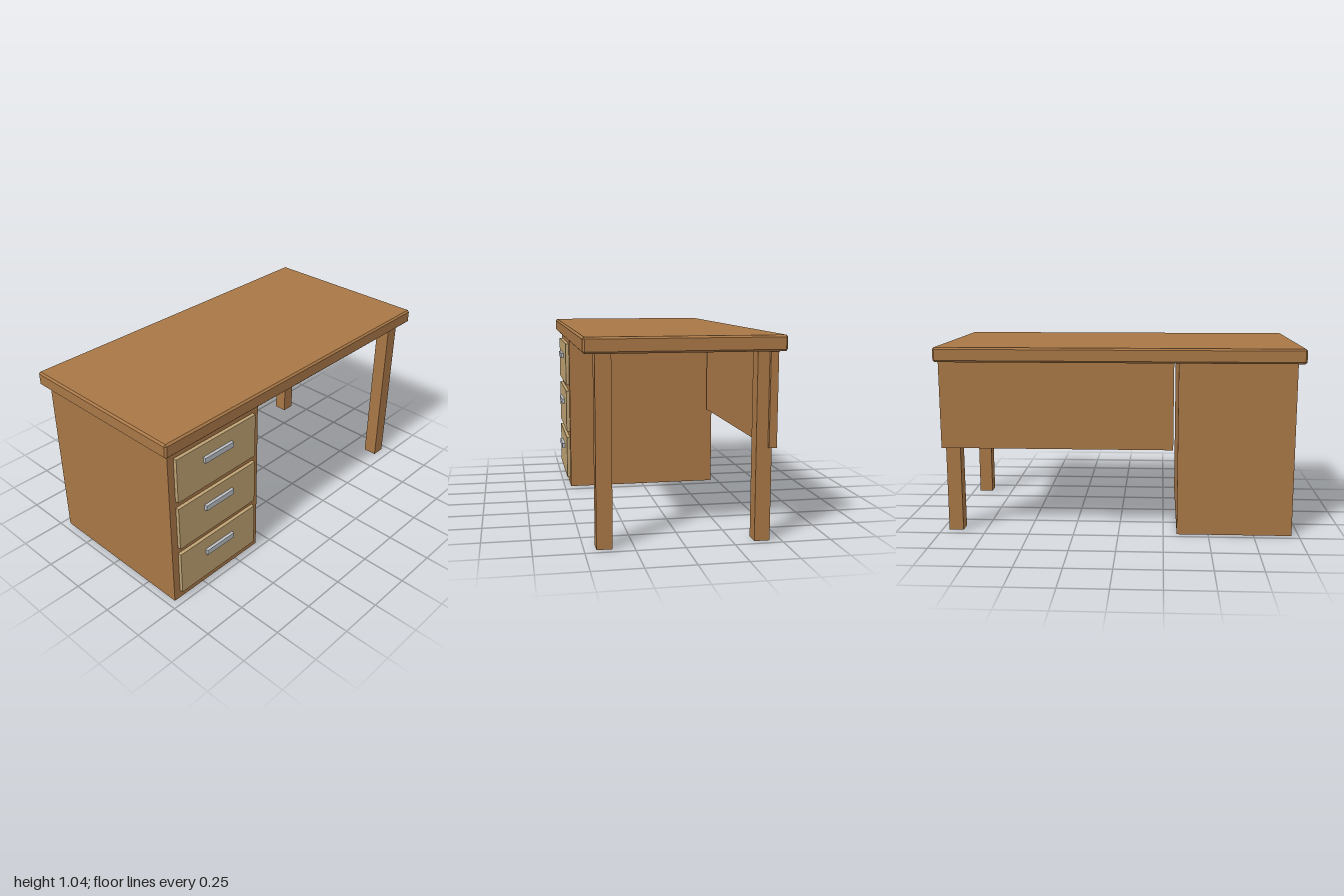
import * as THREE from 'three';
import { ConvexGeometry } from 'three/addons/geometries/ConvexGeometry.js';

// Box with every edge and corner chamfered by b
function chamferedBox(w, h, d, b) {
  const [x, y, z] = [w / 2, h / 2, d / 2];
  const points = [];
  for (const sx of [-1, 1]) for (const sy of [-1, 1]) for (const sz of [-1, 1]) {
    points.push(
      new THREE.Vector3(sx * x, sy * (y - b), sz * (z - b)),
      new THREE.Vector3(sx * (x - b), sy * y, sz * (z - b)),
      new THREE.Vector3(sx * (x - b), sy * (y - b), sz * z)
    );
  }
  return new ConvexGeometry(points);
}

export function createModel() {
  const wood = new THREE.MeshStandardMaterial({ color: 0xa87746 });
  wood.name = 'wood';
  const paleWood = new THREE.MeshStandardMaterial({ color: 0xbea273 });
  paleWood.name = 'pale wood';
  const metal = new THREE.MeshStandardMaterial({ color: 0xbcc0c5 });
  metal.name = 'metal';

  const desk = new THREE.Group();
  desk.name = 'desk';

  // Adds a box given its limits along each axis
  function box(name, material, [x0, x1], [y0, y1], [z0, z1], parent = desk) {
    const mesh = new THREE.Mesh(new THREE.BoxGeometry(x1 - x0, y1 - y0, z1 - z0), material);
    mesh.position.set((x0 + x1) / 2, (y0 + y1) / 2, (z0 + z1) / 2);
    mesh.name = name;
    parent.add(mesh);
  }

  // Table top
  const top = new THREE.Mesh(chamferedBox(2, 0.08, 1, 0.01), wood);
  top.name = 'tableTop';
  top.position.y = 1;
  desk.add(top);

  // Drawer cabinet
  box('cabinet', wood, [-0.96, -0.325], [0, 0.96], [-0.46, 0.46]);

  // Drawers with bar handles
  for (let i = 0; i < 3; i++) {
    const y = 0.05 + i * 0.3;
    const drawer = new THREE.Group();
    drawer.name = 'drawer' + (i + 1);
    box('drawerFront', paleWood, [-0.92, -0.365], [y, y + 0.26], [0.46, 0.48], drawer);
    box('handle', metal, [-0.743, -0.543], [y + 0.155, y + 0.186], [0.48, 0.497], drawer);
    desk.add(drawer);
  }

  // Legs
  box('frontLeg', wood, [0.88, 0.96], [0, 0.96], [0.36, 0.44]);
  box('backLeg', wood, [0.88, 0.96], [0, 0.96], [-0.44, -0.36]);

  // Back modesty panel
  box('backPanel', wood, [-0.3, 0.98], [0.48, 0.96], [-0.46, -0.42]);

  return desk;
}
